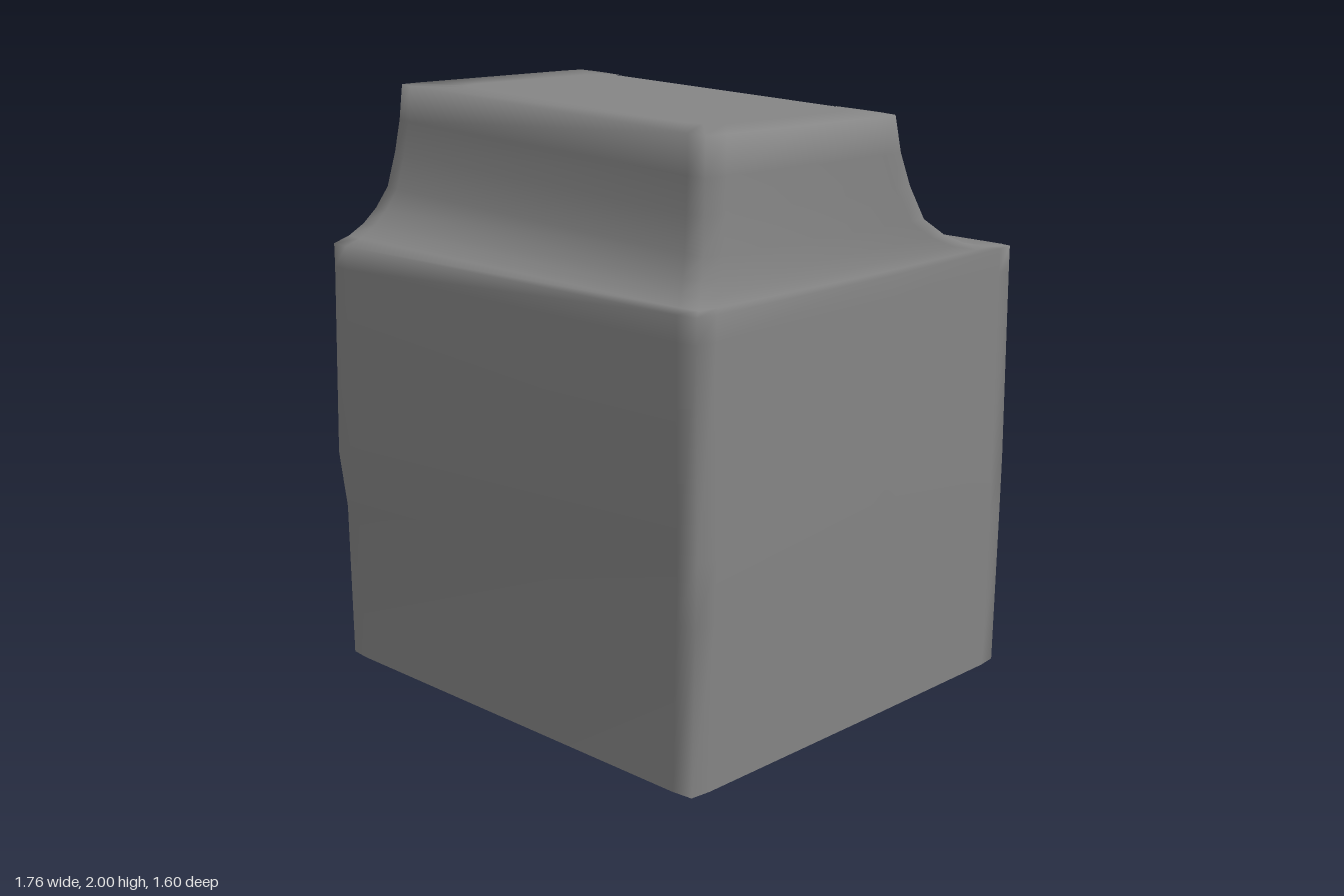
import * as THREE from 'three';

const grey = new THREE.MeshStandardMaterial({ color: 0x858585 });
const greyThin = new THREE.MeshStandardMaterial({ color: 0x858585, side: THREE.DoubleSide });

// Outline from control points [frontLeft, frontRight, right, backRight, backLeft, left] as seen from above,
// corners softened by r (pull: how sharp), the back edge split where the step is cut out.
function outline(ctrl, y, r, pull) {
  const v = ctrl.map(([x, z]) => new THREE.Vector3(x, y, z));
  const points = [];
  v.forEach((c, i) => {
    const prev = v[(i + 5) % 6], next = v[(i + 1) % 6];
    if (i === 2 || i === 5) { points.push(c.clone()); return; }
    const a = c.clone().add(prev.clone().sub(c).setLength(r));
    const b = c.clone().add(next.clone().sub(c).setLength(r));
    const mid = a.clone().add(b).multiplyScalar(0.5).lerp(c, pull);
    points.push(a, mid, b);
    if (i === 3) points.push(c.clone().lerp(next, 0.1), c.clone().lerp(next, 0.9));
  });
  return points;
}

// Joins rings of equal length; skip(k, i) leaves a face out.
function loft(rings, skip) {
  const n = rings[0].length, index = [];
  for (let k = 0; k < rings.length - 1; k++) {
    for (let i = 0; i < n; i++) {
      if (skip(k, i)) continue;
      const a = k * n + i, b = k * n + (i + 1) % n;
      index.push(a, b, b + n, a, b + n, a + n);
    }
  }
  const g = new THREE.BufferGeometry().setFromPoints(rings.flat());
  g.setIndex(index);
  g.computeVertexNormals();
  return g;
}

export function createModel() {
  const model = new THREE.Group();
  const add = (name, geometry, material = grey) => {
    const mesh = new THREE.Mesh(geometry, material);
    mesh.name = name;
    model.add(mesh);
    return mesh;
  };

  // Slightly uneven lower body
  const base = [[-0.845, 0.76], [0.84, 0.755], [0.845, -0.1], [0.845, -0.8], [-0.865, -0.8], [-0.865, 0.3]];
  const low = [[-0.845, 0.765], [0.855, 0.755], [0.86, -0.1], [0.855, -0.795], [-0.865, -0.795], [-0.865, 0.35]];
  const middle = [[-0.835, 0.8], [0.86, 0.755], [0.87, -0.1], [0.86, -0.79], [-0.865, -0.79], [-0.87, 0.4]];
  const shoulder = [[-0.81, 0.8], [0.86, 0.76], [0.88, -0.12], [0.86, -0.78], [-0.865, -0.78], [-0.885, 0.43]];
  // Turned upper part and the opening on its top
  const top = [[-0.885, 0.43], [0.78, 0.645], [0.83, 0.25], [0.875, -0.12], [-0.79, -0.35], [-0.84, 0.05]];
  const opening = [[-0.715, 0.32], [0.615, 0.485], [0.655, 0.17], [0.69, -0.137], [-0.63, -0.318], [-0.67, 0]];

  // Concave sweep from shoulder to top: [blend, height]
  const sweep = [[0, 1.5], [0.2, 1.515], [0.4, 1.545], [0.58, 1.59], [0.75, 1.655], [0.87, 1.77], [0.95, 1.88], [1, 2]];
  const body = (ctrl, y) => outline(ctrl, y, 0.08, 0.8);
  const from = body(shoulder, 1.5), to = body(top, 2);
  const rings = [body(base, 0), body(low, 0.55), body(middle, 0.76), body(shoulder, 1.42)];
  const first = rings.length;
  for (const [t, y] of sweep) {
    rings.push(from.map((p, i) => p.clone().lerp(to[i], t).setY(y)));
  }
  rings.push(outline(opening, 2, 0.09, 0.4));

  // Soft cover with the step cut out of its back, the cut's lower corners drawn in
  const R = 10, L = 11;
  rings[first + 1][R].set(0.62, 1.515, -0.66);
  rings[first + 1][L].set(-0.6, 1.515, -0.66);
  add('cover', loft(rings, (k, i) => i === R && k > first), greyThin);

  // Three boxes side by side under the cover, with narrow gaps
  [[-0.775, -0.28], [-0.262, 0.235], [0.25, 0.745]].forEach(([z0, z1], i) => {
    const box = add('lowerBox' + (i + 1), new THREE.BoxGeometry(1.66, 1.498, z1 - z0));
    box.position.set(-0.005, 0.752, (z0 + z1) / 2);
  });

  // Box turned on top of them, filling the upper opening
  const upper = add('upperBox', new THREE.BoxGeometry(1.64, 0.498, 0.757));
  upper.position.set(-0.005, 1.75, 0.151);
  upper.rotation.y = -0.132;

  return model;
}
